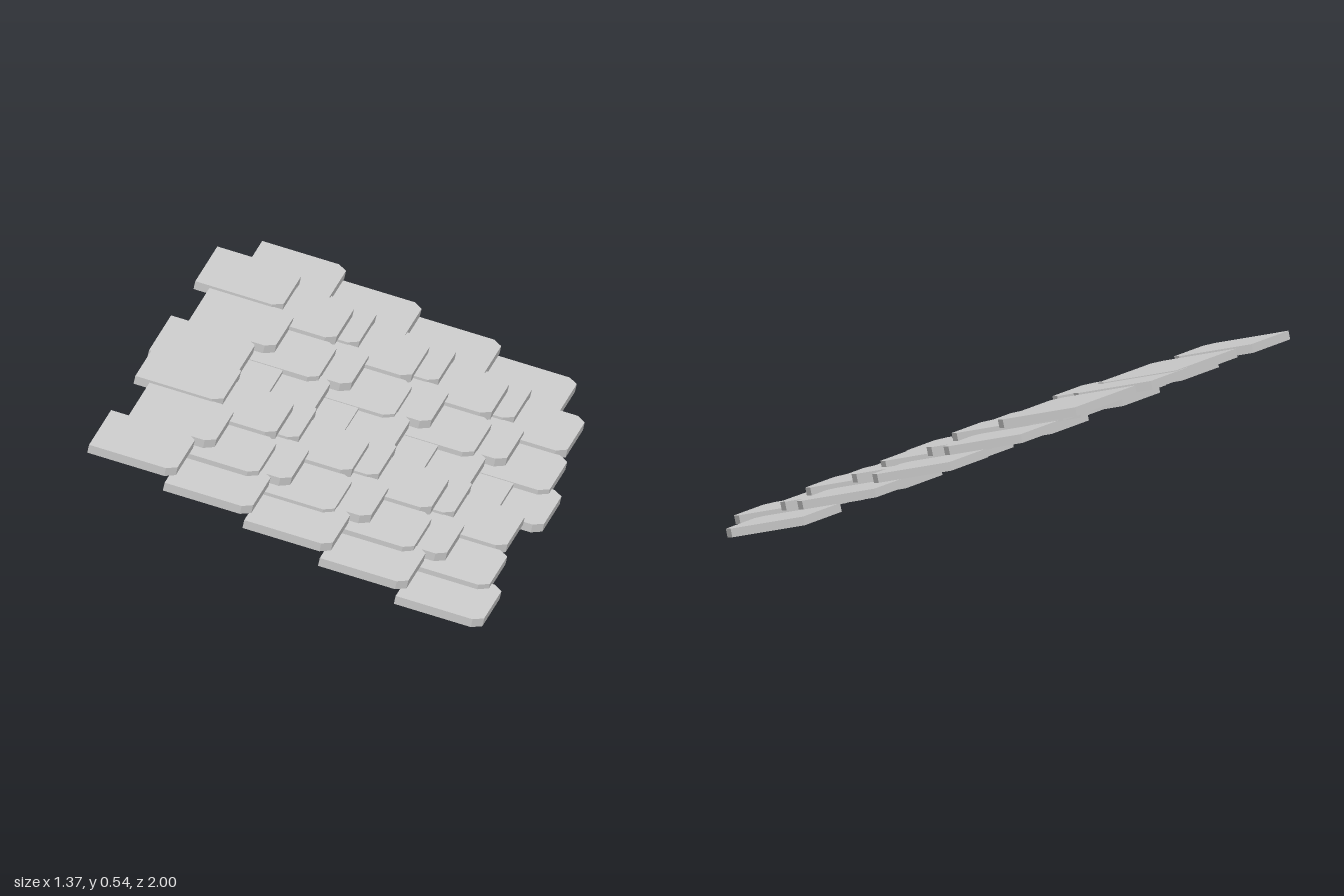
import * as THREE from 'three';

const LENGTH = 0.306, WIDTH = 0.31, THICK = 0.03, TILT = THREE.MathUtils.degToRad(12.4);

// One flat shingle: square at the upper end, clipped corners at the lower end (local x = 0)
function shingleGeometry() {
  const w = WIDTH / 2, cut = 0.033;
  const shape = new THREE.Shape([
    [-LENGTH, -w], [-cut, -w], [0, -w + cut], [0, w - cut], [-cut, w], [-LENGTH, w],
  ].map(([x, y]) => new THREE.Vector2(x, y)));
  return new THREE.ExtrudeGeometry(shape, { depth: THICK, bevelEnabled: false }).rotateX(-Math.PI / 2);
}

// Shingle columns of one roof section: lower end x, bottom y and centre z of the top shingle
const COLUMNS = [
  { name: 'edgeColumn', x: -0.38, y: 0.446, z: 0.845, count: 5 },
  { name: 'upperInnerColumn', x: -0.322, y: 0.427, z: 0.535, count: 4 },
  { name: 'upperFarColumn', x: -0.371, y: 0.447, z: 0.23, count: 4 },
  { name: 'lowerInnerColumn', x: -0.155, y: 0.36, z: 0.61, count: 4 },
  { name: 'lowerMiddleColumn', x: -0.17, y: 0.377, z: 0.302, count: 4 },
  { name: 'lowerFarColumn', x: -0.272, y: 0.383, z: 0, count: 4 },
];
const SECTION_DEPTH = 0.845;

// Each course steps down and outwards
const STEP_X = [0, 0.262, 0.538, 0.8, 1.063];
const STEP_Y = [0, -0.112, -0.221, -0.333, -0.445];

export function createModel() {
  const roof = new THREE.Group();
  roof.name = 'shingleRoof';
  const geometry = shingleGeometry();
  const material = new THREE.MeshStandardMaterial({ color: 0xcccccc, flatShading: true });

  for (let s = 0; s < 2; s++) {
    const section = new THREE.Group();
    section.name = s === 0 ? 'frontSection' : 'backSection';
    section.position.z = -s * SECTION_DEPTH;
    for (const { name, x, y, z, count } of COLUMNS) {
      const column = new THREE.Group();
      column.name = name;
      for (let i = 0; i < count; i++) {
        const shingle = new THREE.Mesh(geometry, material);
        shingle.name = 'shingle';
        shingle.position.set(x + STEP_X[i] - THICK * Math.sin(TILT), y + STEP_Y[i], z);
        shingle.rotation.z = -TILT;
        column.add(shingle);
      }
      section.add(column);
    }
    roof.add(section);
  }
  return roof;
}
